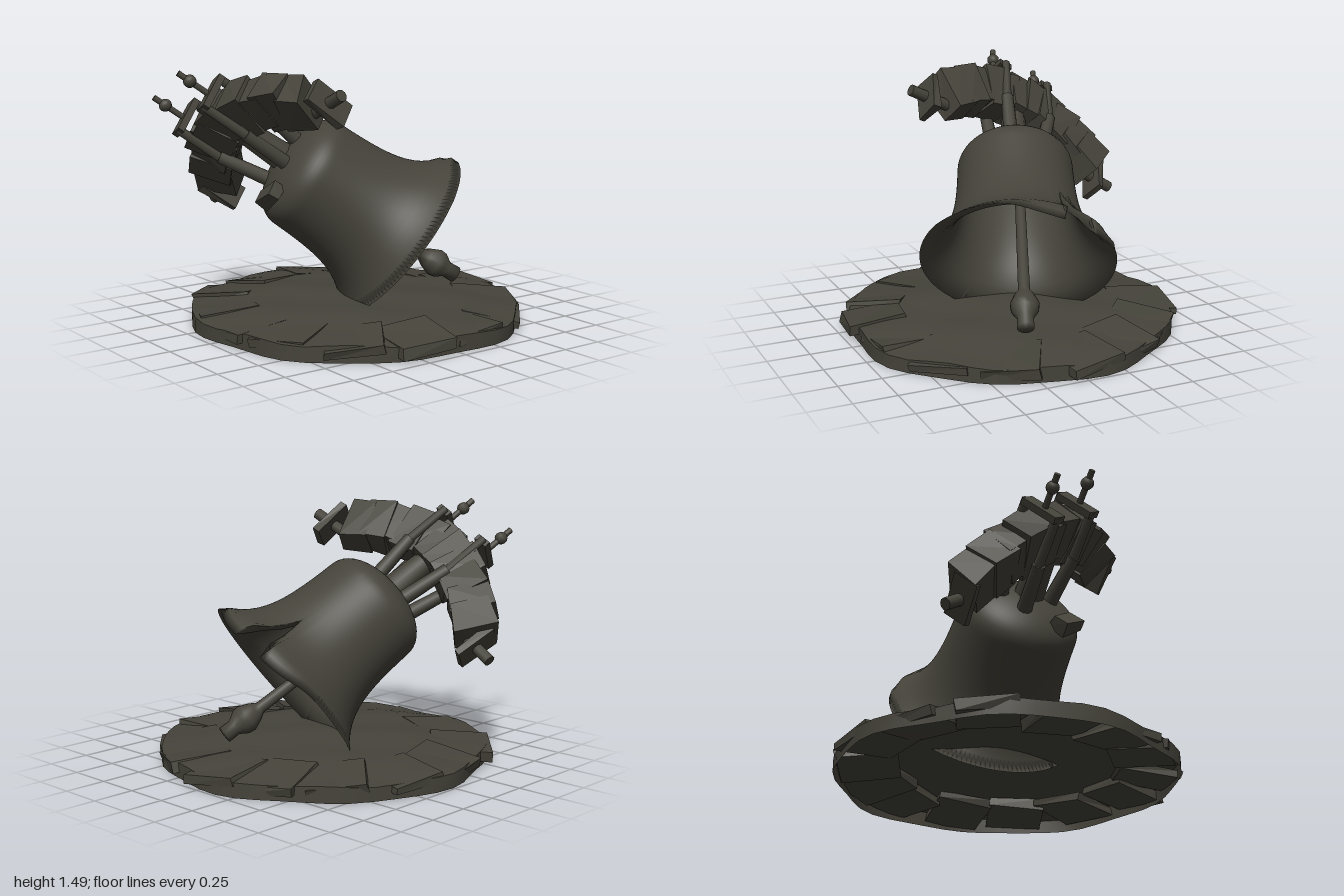
import * as THREE from 'three';
import { ParametricGeometry } from 'three/addons/geometries/ParametricGeometry.js';

let seed = 7;
const rnd = () => (seed = (seed * 16807) % 2147483647) / 2147483647;
const jitter = a => (rnd() * 2 - 1) * a;

export function createModel() {
  const model = new THREE.Group();
  const bronze = new THREE.MeshStandardMaterial({ color: 0x45433a, side: THREE.DoubleSide });
  bronze.name = 'dark bronze';

  const add = (parent, name, geometry, pos = [0, 0, 0], rot = [0, 0, 0]) => {
    const mesh = new THREE.Mesh(geometry, bronze);
    mesh.name = name;
    mesh.position.set(...pos);
    mesh.rotation.set(...rot);
    parent.add(mesh);
    return mesh;
  };
  // Cylinder between two points
  const rod = (parent, name, a, b, r0, r1 = r0, sides = 10) => {
    const p = new THREE.Vector3(...a), q = new THREE.Vector3(...b);
    const mesh = add(parent, name, new THREE.CylinderGeometry(r1, r0, p.distanceTo(q), sides));
    mesh.position.copy(p).lerp(q, 0.5);
    mesh.quaternion.setFromUnitVectors(new THREE.Vector3(0, 1, 0), q.sub(p).normalize());
    return mesh;
  };
  // Box with its corners pushed about a little
  const roughBox = (w, h, d, amount) => {
    const g = new THREE.BoxGeometry(w, h, d).toNonIndexed();
    const p = g.attributes.position, moved = {};
    for (let i = 0; i < p.count; i++) {
      const key = [p.getX(i), p.getY(i), p.getZ(i)].map(v => Math.sign(v)).join();
      const m = moved[key] ??= [jitter(amount), jitter(amount), jitter(amount)];
      p.setXYZ(i, p.getX(i) + m[0], p.getY(i) + m[1], p.getZ(i) + m[2]);
    }
    g.computeVertexNormals();
    return g;
  };

  // Hollow mound of ground with an uneven edge
  const ground = (u, v, out) => {
    const a = u * Math.PI * 2;
    const edge = 0.965 + 0.015 * Math.sin(a * 5 + 1) + 0.015 * Math.sin(a * 9);
    const r = edge * Math.min(v / 0.9, 1);
    const x = r * Math.cos(a), z = r * Math.sin(a);
    const bump = 0.012 * Math.sin(x * 9 + 1) * Math.cos(z * 8);
    const y = v > 0.95 ? 0.012 : 0.165 - 0.07 * r * r + bump;
    out.set(x, y, -z);
  };
  const mound = new ParametricGeometry(ground, 48, 20);
  mound.computeVertexNormals();
  add(model, 'ground', mound);

  // Tilted paving slabs, half sunk round the edge
  const slabs = 14;
  for (let i = 0; i < slabs; i++) {
    const a = (i / slabs) * Math.PI * 2 + jitter(0.06);
    const r = 0.8 + jitter(0.03);
    const slab = add(model, 'pavingSlab', roughBox(0.34, 0.055, 0.33, 0.012),
      [r * Math.cos(a), 0.088 + jitter(0.006), r * Math.sin(a)]);
    slab.rotation.set(0.08 + jitter(0.04), -a + jitter(0.15), -0.1 + jitter(0.06), 'YXZ');
  }

  // Tilted frame shared by the bell, clapper and headstock
  const bell = new THREE.Group();
  bell.name = 'bellAssembly';
  const axis = new THREE.Vector3(-0.75, 0.58, -0.32).normalize();
  const side = new THREE.Vector3(1, 0, 0).addScaledVector(axis, -axis.x).normalize();
  const across = new THREE.Vector3().crossVectors(side, axis);
  bell.quaternion.setFromRotationMatrix(new THREE.Matrix4().makeBasis(side, axis, across));
  bell.position.set(0.265, 0.485, 0.07);
  model.add(bell);

  // Bell wall: flared lip, domed shoulder, and a drooping rim split by a notch
  const top = 0.87;
  const radius = (t, a) => {
    const q = Math.max(0, (t - 0.67) / (top - 0.67));
    const lip = Math.exp(-Math.max(t, 0) / 0.165);
    const flare = 0.345 + lip * (0.235 - 0.025 * Math.cos(a));
    return flare * Math.sqrt(Math.max(0, 1 - q ** 2.3));
  };
  const wall = (u, v, out) => {
    const a = (u - 0.5) * Math.PI * 2;
    const inside = v > 0.5;
    const w = inside ? (1 - v) * 2 : v * 2;
    const cut = Math.max(0, 1 - Math.abs(a) / 0.19) ** 0.8;
    const rim = 0.34 * cut - 0.03 * Math.cos(a) - 0.07 * Math.exp(-((a / 0.65) ** 4));
    const t = top - (top - rim) * w ** 1.6;
    const r = inside ? Math.max(0, radius(t, a) - 0.045) : radius(t, a);
    out.set(r * Math.cos(a), inside ? Math.min(t, top - 0.04) : t, r * Math.sin(a));
  };
  const shell = new ParametricGeometry(wall, 128, 60);
  shell.computeVertexNormals();
  add(bell, 'bell', shell);

  // Clapper hanging out of the mouth
  const clapper = [[0.001, 0.93], [0.03, 0.93], [0.035, 0.02], [0.06, -0.02], [0.085, -0.08],
    [0.08, -0.12], [0.048, -0.17], [0.05, -0.24], [0.001, -0.245]];
  add(bell, 'clapper', new THREE.LatheGeometry(
    clapper.map(([r, y]) => new THREE.Vector2(r, y)).reverse(), 14),
  [0.0, -0.22, -0.03], [-0.03, 0, 0.04]);

  // Arched headstock of staggered timber blocks
  const arch = new THREE.QuadraticBezierCurve3(
    new THREE.Vector3(0.02, 0.97, 0.56), new THREE.Vector3(0, 1.52, 0),
    new THREE.Vector3(0.04, 0.95, -0.62));
  const count = 11;
  for (let i = 0; i < count; i++) {
    const t = 0.07 + (0.86 * i) / (count - 1);
    const block = add(bell, 'headstockBlock',
      roughBox(0.19 + jitter(0.02), 0.27 + jitter(0.03), 0.17, 0.015));
    const d = arch.getTangent(t);
    block.position.copy(arch.getPoint(t));
    block.rotation.set(Math.atan2(d.y, -d.z) * 0.85, 0, jitter(0.1));
  }

  // End plates with pivot pins, joined to the timber by a short axle
  for (const s of [1, -1]) {
    const end = new THREE.Group();
    end.name = 'headstockEnd';
    end.position.set(0, 0.93, s * 0.64);
    end.rotation.x = s * 0.08;
    bell.add(end);
    add(end, 'endPlate', roughBox(0.16, 0.25, 0.05, 0.008));
    rod(end, 'pivotPin', [0, 0, -s * 0.14], [0, 0, s * 0.13], 0.035);
  }

  // Crown loops, iron straps and bolts
  rod(bell, 'crownBoss', [0, 0.82, 0], [0, 1.2, 0], 0.09, 0.07);
  for (const z of [-0.2, 0.13]) {
    for (const x of [-0.11, 0.11]) {
      rod(bell, 'crownLoop', [x * 0.8, 0.83, z * 0.7], [x, 1.14, z], 0.045, 0.038);
      rod(bell, 'strap', [x, 1.08, z], [x, 1.43, z], 0.03, 0.026, 6);
    }
    add(bell, 'strapPlate', new THREE.BoxGeometry(0.24, 0.04, 0.09), [-0.01, 1.42, z]);
    add(bell, 'boltNut', new THREE.SphereGeometry(0.038, 10, 8), [-0.02, 1.56, z]);
    rod(bell, 'bolt', [-0.02, 1.4, z], [-0.02, 1.64, z], 0.018);
  }
  // Small bracket on the underside of the shoulder
  add(bell, 'bracket', roughBox(0.1, 0.08, 0.16, 0.01), [-0.28, 0.83, 0.02]);
  return model;
}
